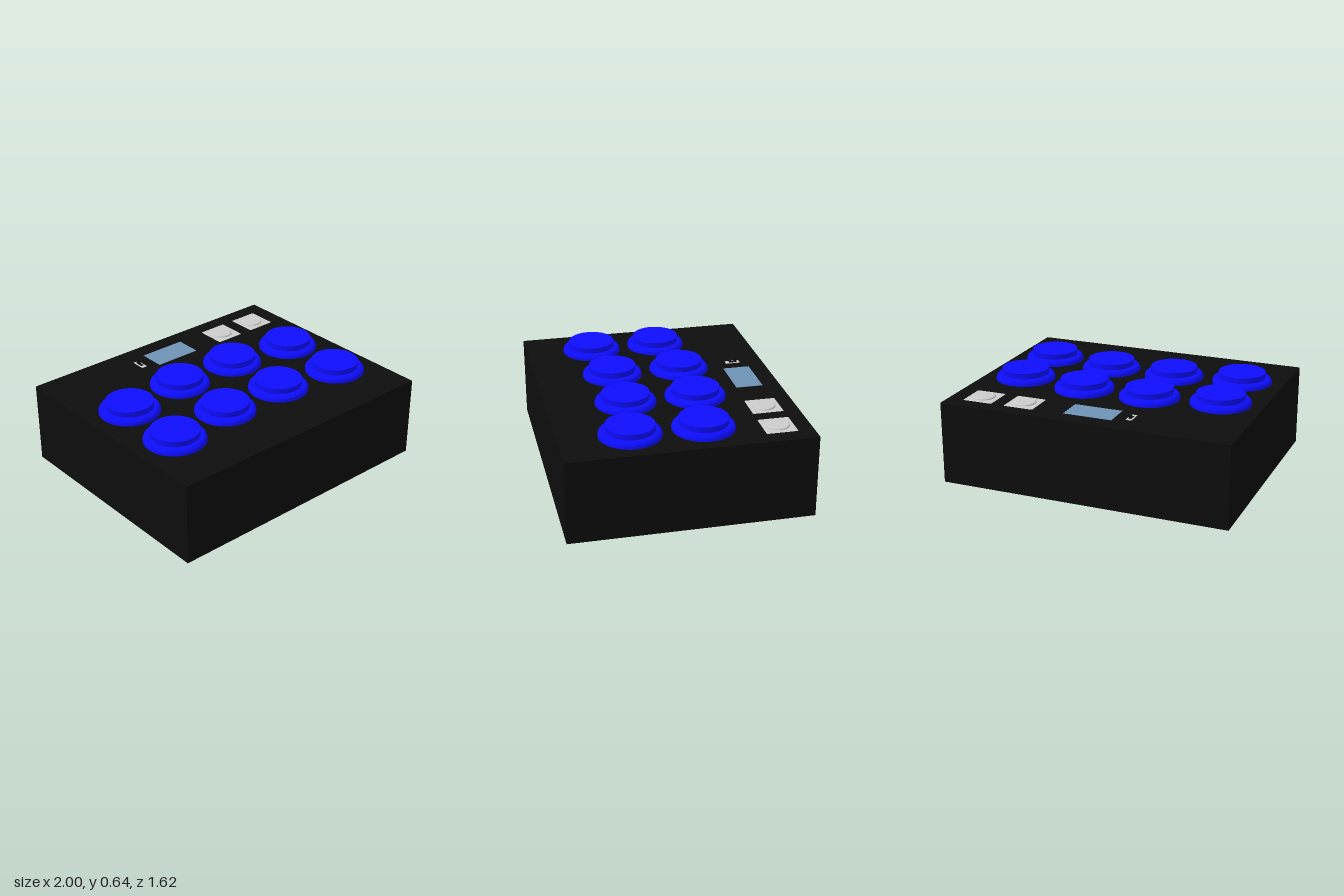
import * as THREE from 'three';
import { toCreasedNormals } from 'three/addons/utils/BufferGeometryUtils.js';
import { RoundedBoxGeometry } from 'three/addons/geometries/RoundedBoxGeometry.js';

const W = 2, D = 1.62, H = 0.565, T = 0.02;

const mat = (color) => new THREE.MeshStandardMaterial({ color });
const black = mat(0x0d0d0d), blue = mat(0x0d0dff), grey = mat(0xcccccc), glass = mat(0x6f93b5);

function add(parent, name, geometry, material, x = 0, y = 0, z = 0) {
  const mesh = new THREE.Mesh(geometry, material);
  mesh.name = name;
  mesh.position.set(x, y, z);
  parent.add(mesh);
  return mesh;
}

function lathe(points, segments = 48) {
  const profile = points.map(([r, y]) => new THREE.Vector2(r, y));
  return toCreasedNormals(new THREE.LatheGeometry(profile, segments), 0.6);
}

// Curved retaining tab, extruded downwards from y = 0
function tabGeometry() {
  const a = 0.75, s = new THREE.Shape();
  s.absarc(0, 0, 0.165, Math.PI - a, Math.PI + a, false);
  s.absarc(0, 0, 0.085, Math.PI + a, Math.PI - a, true);
  const g = new THREE.ExtrudeGeometry(s, { depth: 0.09, bevelEnabled: false, curveSegments: 16 });
  g.rotateX(Math.PI / 2);
  return toCreasedNormals(g, 0.6);
}

// Arcade push button; y = 0 is the lid surface
const collarGeo = lathe([[0, 0], [0.205, 0], [0.205, 0.015], [0.2, 0.027], [0.191, 0.036], [0.178, 0.04], [0, 0.04]]);
const plungerGeo = lathe([[0.16, 0.03], [0.162, 0.078], [0.16, 0.08], [0, 0.08]]);
// Hollow barrel below the lid with a recessed floor
const barrelGeo = lathe([[0, -0.31], [0.13, -0.31], [0.13, -0.355], [0.165, -0.355], [0.165, 0]]);
const tabGeo = tabGeometry();

function pushButton(x, z) {
  const g = new THREE.Group();
  g.name = 'pushButton';
  add(g, 'collar', collarGeo, blue);
  add(g, 'plunger', plungerGeo, blue);
  add(g, 'barrel', barrelGeo, blue);
  add(g, 'retainingTab', tabGeo, blue, 0, -0.34, 0).rotation.y = 0.4;
  g.position.set(x, H, z);
  return g;
}

// Small square key with a round cap
function smallButton(x, z) {
  const g = new THREE.Group();
  g.name = 'smallButton';
  add(g, 'squareBase', new RoundedBoxGeometry(0.22, 0.06, 0.22, 3, 0.014), grey, 0, -0.027, 0);
  add(g, 'roundCap', lathe([[0.077, 0], [0.075, 0.009], [0.068, 0.014], [0, 0.014]]), grey);
  g.position.set(x, H, z);
  return g;
}

export function createModel() {
  const model = new THREE.Group();

  // Housing, open underneath
  const housing = new THREE.Group();
  housing.name = 'housing';
  add(housing, 'lid', new THREE.BoxGeometry(W, T, D), black, 0, H - T / 2, 0);
  for (const s of [-1, 1]) {
    add(housing, 'sideWall', new THREE.BoxGeometry(T, H - T, D), black, s * (W - T) / 2, (H - T) / 2, 0);
    add(housing, 'endWall', new THREE.BoxGeometry(W - 2 * T, H - T, T), black, 0, (H - T) / 2, s * (D - T) / 2);
  }
  model.add(housing);

  // Two rows of four buttons, the inner pairs set further back
  for (const rowZ of [-0.13, 0.345])
    for (const s of [-1, 1]) {
      model.add(pushButton(s * 0.712, rowZ));
      model.add(pushButton(s * 0.237, rowZ - 0.065));
    }

  for (const x of [0.485, 0.785]) model.add(smallButton(x, -0.6));

  // Display window
  add(model, 'display', new THREE.BoxGeometry(0.335, 0.03, 0.185), glass, -0.002, H - 0.013, -0.597);

  // Slide switch
  const sw = new THREE.Group();
  sw.name = 'slideSwitch';
  add(sw, 'switchFrame', new THREE.BoxGeometry(0.04, 0.05, 0.1), grey, 0, -0.022, 0);
  add(sw, 'switchSlot', new THREE.BoxGeometry(0.02, 0.004, 0.05), black, 0, 0.003, 0);
  add(sw, 'slider', new THREE.BoxGeometry(0.018, 0.026, 0.018), black, 0, 0.013, -0.02);
  sw.position.set(-0.27, H, -0.597);
  model.add(sw);

  return model;
}
